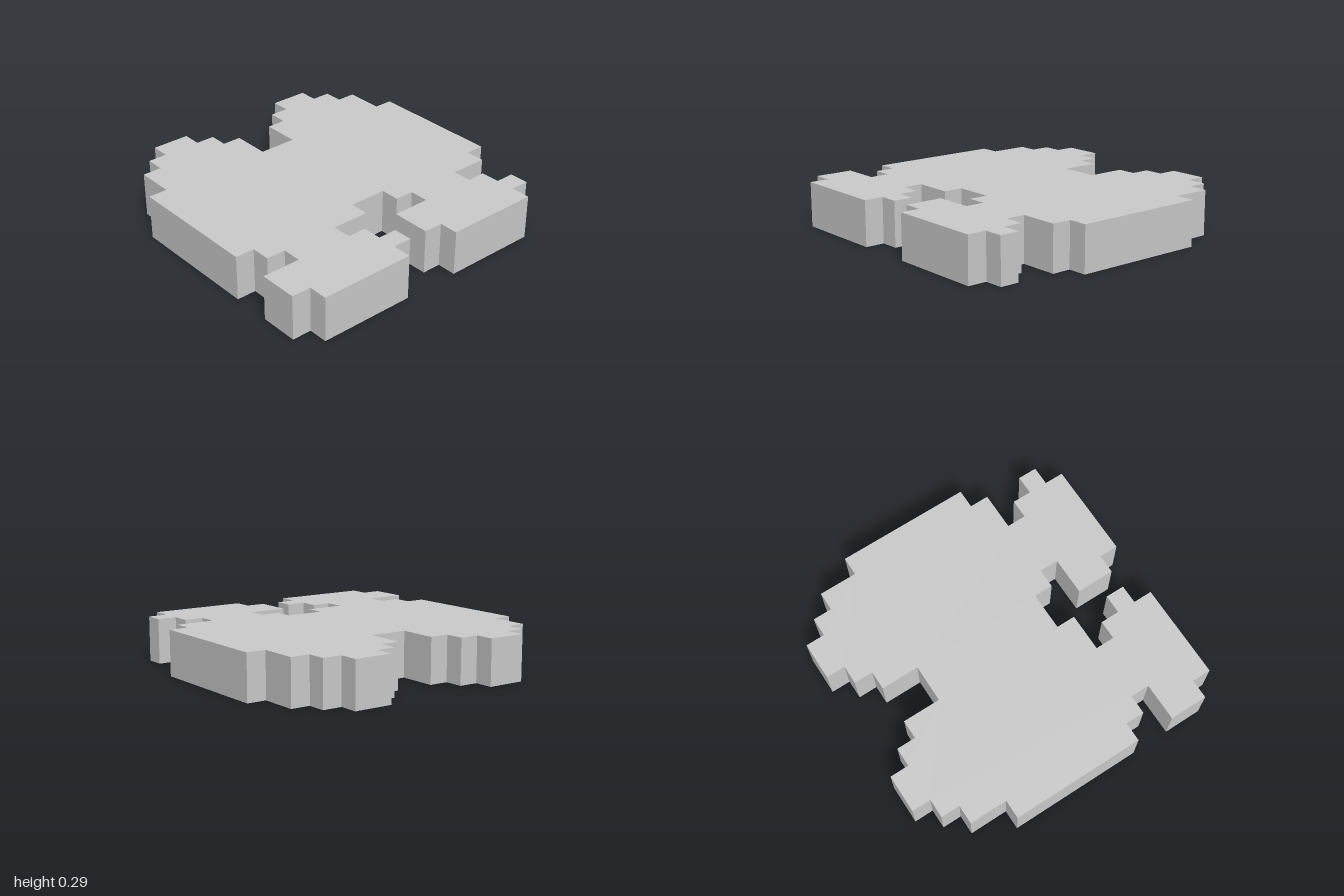
import * as THREE from 'three';

const CELL = 0.125;   // one stepped square of the outline
const HEIGHT = 0.29;

// Stepped outlines in cells [x, z], for the lobe on the -x side
const backLobe = [
  [-7, -4], [-7, -6], [-6, -6], [-6, -7], [-5, -7], [-5, -8],
  [-3, -8], [-3, -7], [-2, -7], [-2, -6], [-1, -6], [-1, -4],
];
// Neck and foot, walked from +x to -x
const frontFoot = [
  [-1, 3], [-1, 4], [-3, 4], [-3, 5], [-2, 5], [-2, 6], [-1, 6], [-1, 7], [-2, 7], [-2, 8],
  [-7, 8], [-7, 7], [-8, 7], [-8, 5], [-6, 5], [-6, 4], [-7, 4], [-7, 3],
];
const shift = (points, dx) => points.map(([x, z]) => [x + dx, z]);

export function createModel() {
  const group = new THREE.Group();
  group.name = 'steppedTwinSlab';

  // Both lobes repeat the same steps, joined by the wide middle
  const outline = [
    [-8, 3], [-8, -4],
    ...backLobe, ...shift(backLobe, 8),
    [8, -4], [8, 3],
    ...shift(frontFoot, 8), ...frontFoot,
  ];
  const shape = new THREE.Shape(outline.map(([x, z]) => new THREE.Vector2(x * CELL, -z * CELL)));
  const geometry = new THREE.ExtrudeGeometry(shape, { depth: HEIGHT, bevelEnabled: false });
  geometry.rotateX(-Math.PI / 2);

  const slab = new THREE.Mesh(
    geometry,
    new THREE.MeshStandardMaterial({ color: 0xcccccc, flatShading: true }),
  );
  slab.name = 'slab';
  group.add(slab);
  return group;
}
